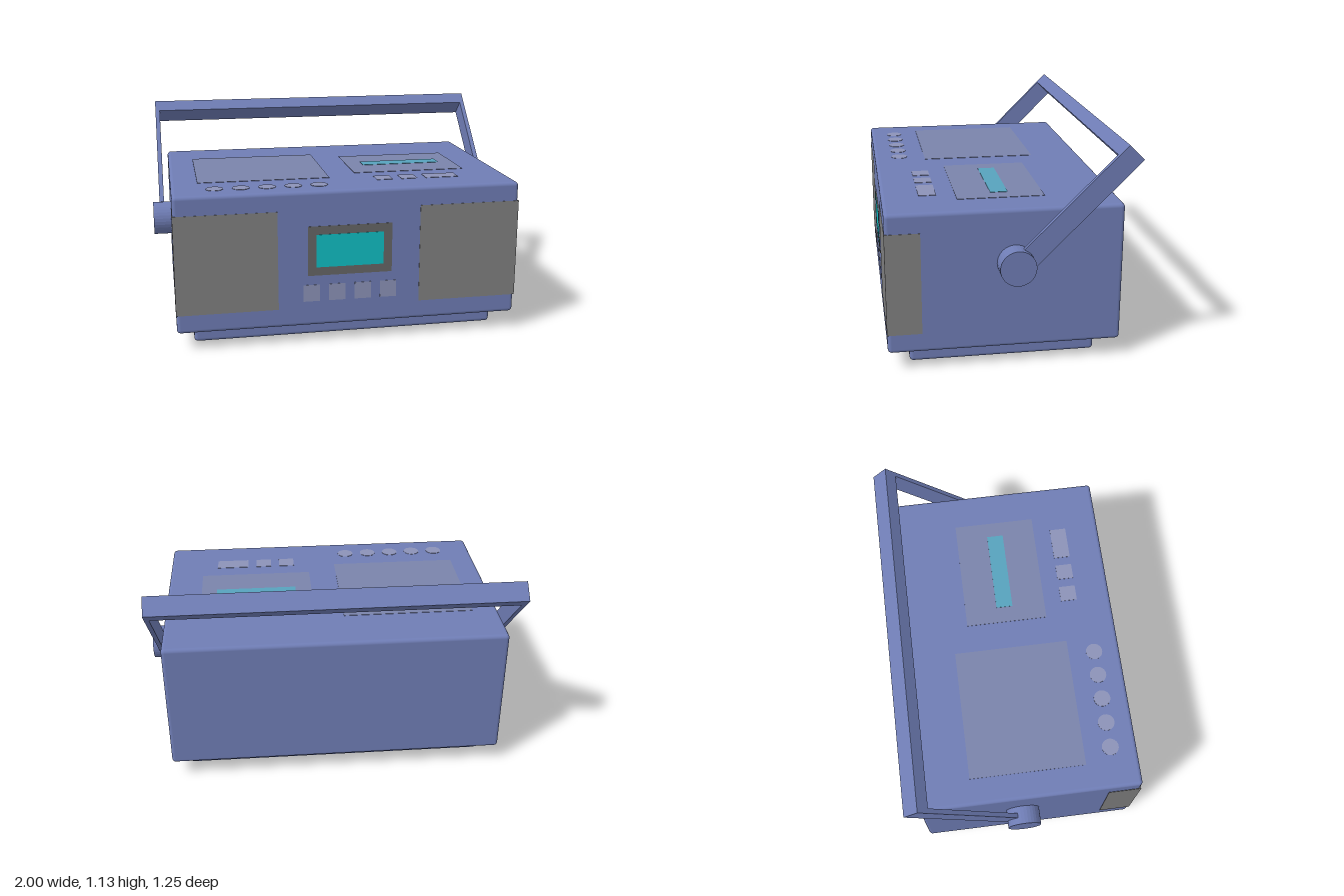
import * as THREE from 'three';
import { RoundedBoxGeometry } from 'three/addons/geometries/RoundedBoxGeometry.js';

const paint = (color, extra = {}) => new THREE.MeshStandardMaterial({ color, ...extra });

export function createModel() {
  const model = new THREE.Group();
  model.name = 'portableRadio';

  const shell = paint(0x6f7db5);
  const facetedShell = paint(0x6f7db5, { flatShading: true });
  const grille = paint(0x808080);
  const bezel = paint(0x666666);
  const display = paint(0x10bfc4);
  const tintedWindow = paint(0x57a2bd);
  const button = paint(0x8c93b8);
  const lid = paint(0x7a84ab);

  function add(name, geometry, material, parent = model) {
    const mesh = new THREE.Mesh(geometry, material);
    mesh.name = name;
    parent.add(mesh);
    return mesh;
  }

  // Box given by its low and high limits on each axis
  function box(name, [x0, x1], [y0, y1], [z0, z1], material, parent, radius = 0) {
    const size = [x1 - x0, y1 - y0, z1 - z0];
    const geometry = radius
      ? new RoundedBoxGeometry(...size, 4, radius)
      : new THREE.BoxGeometry(...size);
    const mesh = add(name, geometry, material, parent);
    mesh.position.set((x0 + x1) / 2, (y0 + y1) / 2, (z0 + z1) / 2);
    return mesh;
  }

  // Case and plinth
  box('body', [-0.905, 0.905], [0.095, 0.82], [-0.558, 0.622], shell, model, 0.02);
  box('base', [-0.815, 0.815], [0, 0.13], [-0.445, 0.51], shell, model, 0.02);

  // Speakers wrapping round the front corners
  box('leftSpeaker', [0.37, 0.907], [0.195, 0.72], [0.45, 0.624], grille);
  box('rightSpeaker', [-0.907, -0.38], [0.195, 0.72], [0.45, 0.624], grille);

  // Front display and the row of buttons below it
  box('displayBezel', [-0.225, 0.22], [0.37, 0.635], [0.6, 0.624], bezel);
  box('displayScreen', [-0.18, 0.175], [0.415, 0.59], [0.6, 0.626], display);
  for (let i = 0; i < 4; i++) {
    const x = -0.25 + i * 0.136;
    box('frontButton', [x, x + 0.087], [0.23, 0.32], [0.6, 0.624], button);
  }

  // Top panels, tuning window and keys
  const thin = [0.8, 0.822];
  box('discLid', [-0.765, -0.06], thin, [-0.28, 0.34], lid);
  box('tunerPanel', [0.095, 0.715], thin, [-0.195, 0.25], lid);
  box('tunerWindow', [0.185, 0.63], [0.8, 0.824], [-0.02, 0.07], tintedWindow);
  for (const span of [[0.18, 0.267], [0.315, 0.402], [0.45, 0.63]]) {
    box('topKey', span, thin, [0.345, 0.435], button);
  }

  // Round buttons along the top front edge
  for (let i = 0; i < 5; i++) {
    add('roundButton', new THREE.CylinderGeometry(0.045, 0.045, 0.022, 32), button)
      .position.set(-0.685 + i * 0.136, 0.811, 0.482);
  }

  // Handle leaning back at 45 degrees; its local y runs along the arms
  const handle = new THREE.Group();
  handle.name = 'handle';
  handle.position.set(0, 0.5335, -0.0235);
  handle.rotation.x = -Math.PI / 4;
  model.add(handle);
  const depth = [-0.053, 0.053];
  box('handleBar', [-0.965, 0.965], [0.72, 0.791], depth, shell, handle);

  // Arms and pivots on both sides
  for (const side of [-1, 1]) {
    const name = side > 0 ? 'left' : 'right';
    const span = side > 0 ? [0.94, 0.965] : [-0.965, -0.94];
    box(name + 'HandleArm', span, [-0.04, 0.72], depth, shell, handle);

    const pivot = add(name + 'Pivot', new THREE.CylinderGeometry(0.09, 0.09, 0.1, 32), facetedShell);
    pivot.rotation.z = Math.PI / 2;
    pivot.position.set(side * 0.95, 0.547, -0.012);
  }

  return model;
}
